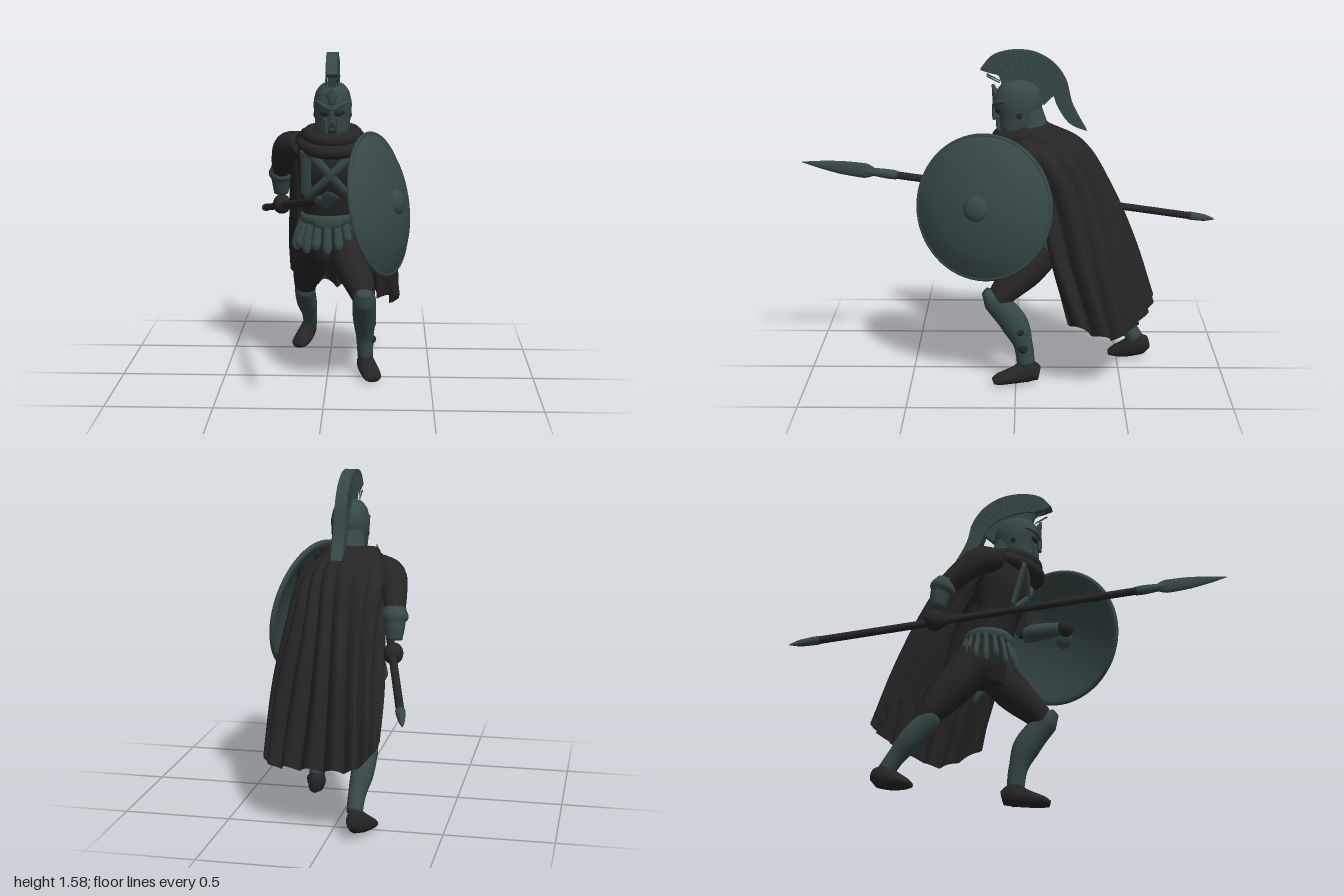
import * as THREE from 'three';

const metal = new THREE.MeshStandardMaterial({ color: 0x364847 });
metal.name = 'dark bronze';
const cloth = new THREE.MeshStandardMaterial({ color: 0x252525, side: THREE.DoubleSide });
cloth.name = 'black cloth';

export function createModel() {
  const model = new THREE.Group();
  model.name = 'spearman';

  const add = (name, geo, mat, parent = model) => {
    const m = new THREE.Mesh(geo, mat);
    m.name = name;
    parent.add(m);
    return m;
  };

  // Smooth closed solid through elliptical sections [x, y, z, radiusAcross, radiusDeep]
  function loft(secs, sides = 20, per = 6) {
    const path = new THREE.CatmullRomCurve3(secs.map(s => new THREE.Vector3(s[0], s[1], s[2])));
    const radii = new THREE.CatmullRomCurve3(secs.map(s => new THREE.Vector3(s[3], s[4] ?? s[3], 0)));
    const n = (secs.length - 1) * per, pos = [], idx = [];
    for (let i = -1; i <= n + 1; i++) {
      const t = Math.min(1, Math.max(0, i / n));
      const c = path.getPoint(t), T = path.getTangent(t);
      const r = radii.getPoint(t).multiplyScalar(i < 0 || i > n ? 0.001 : 1);
      const S = new THREE.Vector3(1, 0, 0).addScaledVector(T, -T.x).normalize();
      const O = T.clone().cross(S);
      for (let j = 0; j < sides; j++) {
        const a = j / sides * Math.PI * 2;
        const p = c.clone().addScaledVector(S, Math.cos(a) * r.x).addScaledVector(O, Math.sin(a) * r.y);
        pos.push(p.x, p.y, p.z);
      }
    }
    for (let i = 0; i < n + 2; i++) for (let j = 0; j < sides; j++) {
      const k = (j + 1) % sides, a = i * sides + j, b = i * sides + k;
      idx.push(a, b, a + sides, b, b + sides, a + sides);
    }
    const g = new THREE.BufferGeometry();
    g.setAttribute('position', new THREE.Float32BufferAttribute(pos, 3));
    g.setIndex(idx);
    g.computeVertexNormals();
    return g;
  }
  const blob = (name, mat, x, y, z, rx, ry, rz, parent) => {
    const m = add(name, new THREE.SphereGeometry(1, 24, 16), mat, parent);
    m.position.set(x, y, z);
    m.scale.set(rx, ry, rz);
    return m;
  };

  // Torso and legs
  add('torso', loft([[0.015, 0.55, -0.17, 0.1, 0.09], [0, 0.65, -0.17, 0.135, 0.11], [0, 0.76, -0.145, 0.122, 0.1],
    [0, 0.88, -0.11, 0.125, 0.1], [0.01, 1.02, -0.075, 0.155, 0.12], [0.02, 1.13, -0.06, 0.16, 0.1],
    [0.025, 1.24, -0.02, 0.065, 0.065]], 28), cloth);
  add('leftThigh', loft([[0.075, 0.66, -0.15, 0.095], [0.12, 0.55, -0.05, 0.09], [0.175, 0.42, 0.075, 0.058], [0.18, 0.36, 0.07, 0.045]]), cloth);
  add('rightThigh', loft([[-0.06, 0.66, -0.19, 0.095], [-0.09, 0.52, -0.28, 0.09], [-0.125, 0.38, -0.38, 0.06], [-0.125, 0.32, -0.42, 0.045]]), cloth);
  add('leftGreave', loft([[0.18, 0.455, 0.145, 0.035, 0.02], [0.18, 0.41, 0.1, 0.056, 0.058], [0.18, 0.3, 0.01, 0.056, 0.066],
    [0.182, 0.19, -0.035, 0.042, 0.046], [0.185, 0.09, -0.05, 0.038, 0.042]]), metal);
  add('rightGreave', loft([[-0.13, 0.38, -0.355, 0.035, 0.02], [-0.13, 0.34, -0.39, 0.052, 0.052], [-0.125, 0.26, -0.47, 0.052, 0.058],
    [-0.115, 0.18, -0.545, 0.04, 0.043], [-0.113, 0.11, -0.595, 0.036, 0.04]]), metal);
  for (const [y, z] of [[0.265, -0.02], [0.18, -0.035]])
    blob('greaveStrap', cloth, 0.215, y, z, 0.022, 0.022, 0.022);
  add('leftFoot', loft([[0.185, 0.045, -0.112, 0.028, 0.035], [0.185, 0.056, -0.06, 0.042, 0.056], [0.2, 0.042, 0, 0.046, 0.042],
    [0.22, 0.026, 0.08, 0.044, 0.026], [0.225, 0.018, 0.108, 0.03, 0.014]]), cloth);
  add('rightFoot', loft([[-0.11, 0.095, -0.655, 0.025, 0.032], [-0.12, 0.08, -0.61, 0.04, 0.056], [-0.14, 0.05, -0.55, 0.045, 0.045],
    [-0.162, 0.027, -0.49, 0.042, 0.026], [-0.168, 0.018, -0.465, 0.028, 0.014]]), cloth);

  // Arms
  add('rightUpperArm', loft([[-0.13, 1.14, -0.08, 0.055], [-0.195, 1.11, -0.15, 0.068], [-0.225, 1.04, -0.23, 0.058], [-0.24, 0.96, -0.31, 0.045]]), cloth);
  add('rightBracer', loft([[-0.24, 0.99, -0.3, 0.05], [-0.243, 0.93, -0.325, 0.05], [-0.245, 0.85, -0.34, 0.036]]), metal);
  add('leftUpperArm', loft([[0.15, 1.13, -0.06, 0.055], [0.205, 1.09, -0.06, 0.062], [0.22, 0.99, -0.03, 0.052], [0.22, 0.9, 0, 0.043]]), cloth);
  add('leftBracer', loft([[0.22, 0.9, -0.01, 0.045], [0.205, 0.9, 0.08, 0.042], [0.19, 0.9, 0.17, 0.033]]), metal);
  blob('rightHand', cloth, -0.242, 0.79, -0.35, 0.045, 0.05, 0.055);
  blob('leftHand', cloth, 0.185, 0.9, 0.2, 0.035, 0.045, 0.04);

  // Chest harness: straps laid over the front of the torso
  const chest = (x, y) => [x, y, -0.148 + 0.27 * (y - 0.74) + 0.118 * Math.sqrt(Math.max(0.05, 1 - ((x - 0.01) / 0.18) ** 2))];
  const strap = (x0, y0, x1, y1, w) => {
    const secs = [0, 0.25, 0.5, 0.75, 1].map(t => [...chest(x0 + (x1 - x0) * t, y0 + (y1 - y0) * t), w, 0.012]);
    add('harnessStrap', loft(secs, 12, 4), metal);
  };
  strap(-0.09, 1.12, 0.13, 0.86, 0.022);
  strap(0.12, 1.1, -0.1, 0.88, 0.02);
  strap(-0.1, 1.12, -0.1, 0.9, 0.026);
  strap(0.13, 1.1, 0.12, 0.9, 0.026);
  blob('shoulderDisc', metal, -0.07, 1.12, 0.055, 0.032, 0.032, 0.018);

  // Belt and skirt of hanging strips
  const belt = add('belt', new THREE.TorusGeometry(1, 0.13, 10, 40).rotateX(Math.PI / 2), metal);
  belt.position.set(0, 0.765, -0.145);
  belt.scale.set(0.125, 0.2, 0.108);
  blob('beltPlate', metal, 0, 0.755, -0.045, 0.075, 0.042, 0.022);
  for (let i = 0; i < 18; i++) {
    const a = i / 18 * Math.PI * 2, s = Math.sin(a), c = Math.cos(a);
    const at = (r, y) => [s * (0.125 + r), y, -0.15 + c * (0.105 + r)];
    const len = i % 2 ? 0.02 : 0;
    add('skirtStrip', loft([[...at(0, 0.755), 0.018, 0.01], [...at(0.022, 0.69), 0.021, 0.013],
      [...at(0.032, 0.635 + len), 0.023, 0.014], [...at(0.032, 0.605 + len), 0.013, 0.01]], 10, 4), metal);
  }
  add('scabbard', loft([[0.16, 0.77, -0.06, 0.016, 0.024], [0.2, 0.68, -0.16, 0.016, 0.024], [0.225, 0.56, -0.265, 0.01, 0.014]], 14), metal);

  // Helmet, face and crest
  const head = new THREE.Group();
  head.name = 'head';
  head.position.x = 0.025;
  model.add(head);
  add('helmet', loft([[0, 1.16, 0.025, 0.055, 0.045], [0, 1.2, 0.01, 0.074, 0.072], [0, 1.27, -0.008, 0.085, 0.098],
    [0, 1.335, -0.012, 0.09, 0.112], [0, 1.39, -0.012, 0.079, 0.1], [0, 1.425, -0.012, 0.052, 0.07], [0, 1.44, -0.012, 0.015, 0.02]], 32), metal, head);
  add('neckGuard', loft([[0, 1.3, -0.05, 0.075, 0.07], [0, 1.25, -0.065, 0.078, 0.072], [0, 1.215, -0.075, 0.085, 0.075]], 24), metal, head);
  for (const s of [-1, 1]) {
    add('browRidge', loft([[s * 0.006, 1.315, 0.103, 0.01], [s * 0.04, 1.335, 0.092, 0.011], [s * 0.078, 1.35, 0.045, 0.008]], 10), metal, head);
    const eye = blob('eyeOpening', cloth, s * 0.036, 1.3, 0.083, 0.026, 0.014, 0.012, head);
    eye.rotation.set(0, s * 0.4, s * 0.25);
    add('cheekEdge', loft([[s * 0.032, 1.275, 0.085, 0.009], [s * 0.026, 1.22, 0.082, 0.01], [s * 0.03, 1.165, 0.07, 0.008]], 10), metal, head);
    const ear = blob('earOpening', cloth, s * 0.084, 1.285, -0.015, 0.006, 0.018, 0.014, head);
    ear.rotation.z = s * 0.1;
  }
  add('noseGuard', loft([[0, 1.345, 0.1, 0.009], [0, 1.29, 0.102, 0.011], [0, 1.25, 0.1, 0.014, 0.01]], 12), metal, head);
  blob('mouthOpening', cloth, 0, 1.215, 0.079, 0.02, 0.03, 0.01, head);
  blob('lips', metal, 0, 1.222, 0.088, 0.013, 0.006, 0.006, head);
  add('frontPeak', loft([[0, 1.415, 0.108, 0.006], [0, 1.38, 0.098, 0.024, 0.014], [0, 1.34, 0.098, 0.012]], 12), metal, head);

  const outline = pts => pts.map(p => new THREE.Vector2(p[0], p[1]));
  const crest = new THREE.Shape();
  crest.moveTo(0.165, 1.485);
  crest.splineThru(outline([[0.12, 1.54], [0.06, 1.567], [-0.02, 1.575], [-0.1, 1.56], [-0.18, 1.51], [-0.235, 1.43], [-0.265, 1.32], [-0.33, 1.2]]));
  crest.splineThru(outline([[-0.25, 1.235], [-0.195, 1.31], [-0.165, 1.38], [-0.1, 1.435], [0, 1.465], [0.09, 1.465], [0.165, 1.485]]));
  const plate = (shape, w) => new THREE.ExtrudeGeometry(shape, { depth: w, bevelEnabled: false, curveSegments: 24 })
    .rotateY(-Math.PI / 2).translate(w / 2, 0, 0);
  add('crest', plate(crest, 0.054), metal, head);
  const holder = new THREE.Shape(outline([[0.085, 1.475], [0, 1.48], [-0.1, 1.45], [-0.18, 1.37], [-0.13, 1.32], [-0.08, 1.38], [0, 1.42], [0.06, 1.4]]));
  add('crestHolder', plate(holder, 0.036), metal, head);
  // Radiating hair ridges on both faces of the crest
  for (const s of [-1, 1]) for (let i = 0; i < 12; i++) {
    const a = 0.5 + i * 0.2, c = Math.cos(a), n = Math.sin(a);
    const p = r => [s * 0.026, 1.37 + n * r * 0.95, -0.035 + c * r];
    add('crestRidge', loft([[...p(0.125), 0.003], [...p(0.195), 0.004]], 6, 1), metal, head);
  }

  // Scarf rolls around the neck
  [[1.185, -0.03, 0.11, 0.035, 0.15], [1.15, -0.04, 0.135, 0.035, 0.25]].forEach(([y, z, r, t, tilt]) => {
    const m = add('scarfRoll', new THREE.TorusGeometry(r, t, 12, 40), cloth);
    m.position.set(0.022, y, z);
    m.rotation.x = Math.PI / 2 + tilt;
  });

  // Cape: rows from the collar to the hem, each running from the right edge to the left edge
  const rows = [
    [[-0.12, 1.17, 0.03], [-0.13, 1.195, -0.06], [-0.08, 1.215, -0.14], [0.02, 1.22, -0.17], [0.1, 1.215, -0.14], [0.15, 1.19, -0.07], [0.16, 1.16, 0.03]],
    [[-0.16, 1.12, -0.08], [-0.185, 1.12, -0.17], [-0.12, 1.13, -0.29], [0.02, 1.13, -0.32], [0.15, 1.12, -0.27], [0.23, 1.1, -0.15], [0.23, 1.1, 0]],
    [[-0.17, 0.92, -0.22], [-0.19, 0.92, -0.32], [-0.12, 0.92, -0.43], [0.03, 0.92, -0.44], [0.17, 0.92, -0.38], [0.26, 0.92, -0.26], [0.25, 0.9, -0.1]],
    [[-0.19, 0.62, -0.34], [-0.2, 0.62, -0.47], [-0.12, 0.6, -0.57], [0.04, 0.6, -0.56], [0.2, 0.6, -0.48], [0.31, 0.6, -0.36], [0.3, 0.6, -0.17]],
    [[-0.19, 0.42, -0.42], [-0.195, 0.39, -0.58], [-0.12, 0.33, -0.66], [0.05, 0.31, -0.63], [0.21, 0.29, -0.56], [0.325, 0.27, -0.45], [0.335, 0.35, -0.24]],
  ];
  const V = p => new THREE.Vector3(...p);
  const across = rows.map(r => new THREE.CatmullRomCurve3(r.map(V)));
  const nu = 144, nv = 32;
  const cape = new THREE.PlaneGeometry(1, 1, nu, nv), cp = cape.attributes.position;
  for (let j = 0; j <= nu; j++) {
    const u = j / nu;
    const down = new THREE.CatmullRomCurve3(across.map(c => c.getPoint(u)));
    for (let i = 0; i <= nv; i++) {
      const v = i / nv, p = down.getPoint(v);
      const fold = Math.abs(Math.sin((u * 10 + 0.25 * Math.sin(v * 4 + u * 9)) * Math.PI)) - 0.6;
      const out = new THREE.Vector3(p.x - 0.04, 0, p.z + 0.03 + 0.25 * v).normalize();
      p.addScaledVector(out, fold * 0.045 * Math.min(1, 0.15 + v * 1.2));
      p.y += fold * 0.03 * v ** 6;
      cp.setXYZ(i * (nu + 1) + j, p.x, p.y, p.z);
    }
  }
  cape.computeVertexNormals();
  add('cape', cape, cloth);

  // Round domed shield, tilted slightly upward
  const shield = new THREE.Group();
  shield.name = 'shield';
  shield.position.set(0.248, 0.883, 0.148);
  shield.quaternion.setFromUnitVectors(new THREE.Vector3(0, 1, 0), new THREE.Vector3(0.91, 0.19, 0.36).normalize());
  model.add(shield);
  add('shieldDome', new THREE.LatheGeometry(outline([[0, 0.075], [0.12, 0.065], [0.22, 0.035], [0.3, -0.002], [0.325, -0.012],
    [0.335, -0.008], [0.335, 0.004], [0.318, 0.012], [0.27, 0.042], [0.2, 0.07], [0.1, 0.091], [0, 0.096]]), 64), metal, shield);
  add('shieldRim', new THREE.TorusGeometry(0.33, 0.01, 8, 64).rotateX(Math.PI / 2), metal, shield);
  blob('shieldBoss', metal, 0, 0.09, 0, 0.06, 0.03, 0.06, shield);

  // Spear, measured along its length from butt (0) to tip (1)
  const along = (t, w, d = w) => [-0.395 + 0.485 * t, 0.65 + 0.408 * t, -0.998 + 1.996 * t, w, d];
  add('spearShaft', loft([along(0.05, 0.018), along(0.82, 0.018)], 16, 2), cloth);
  add('spearButt', loft([along(0, 0.003), along(0.025, 0.014, 0.017), along(0.05, 0.02), along(0.065, 0.021)], 14), metal);
  add('spearSocket', loft([along(0.785, 0.021), along(0.8, 0.023), along(0.86, 0.016)], 14), metal);
  add('spearBlade', loft([along(0.83, 0.014, 0.014), along(0.86, 0.014, 0.036), along(0.91, 0.012, 0.032), along(0.96, 0.008, 0.018), along(1, 0.001, 0.002)], 12), metal);

  return model;
}
